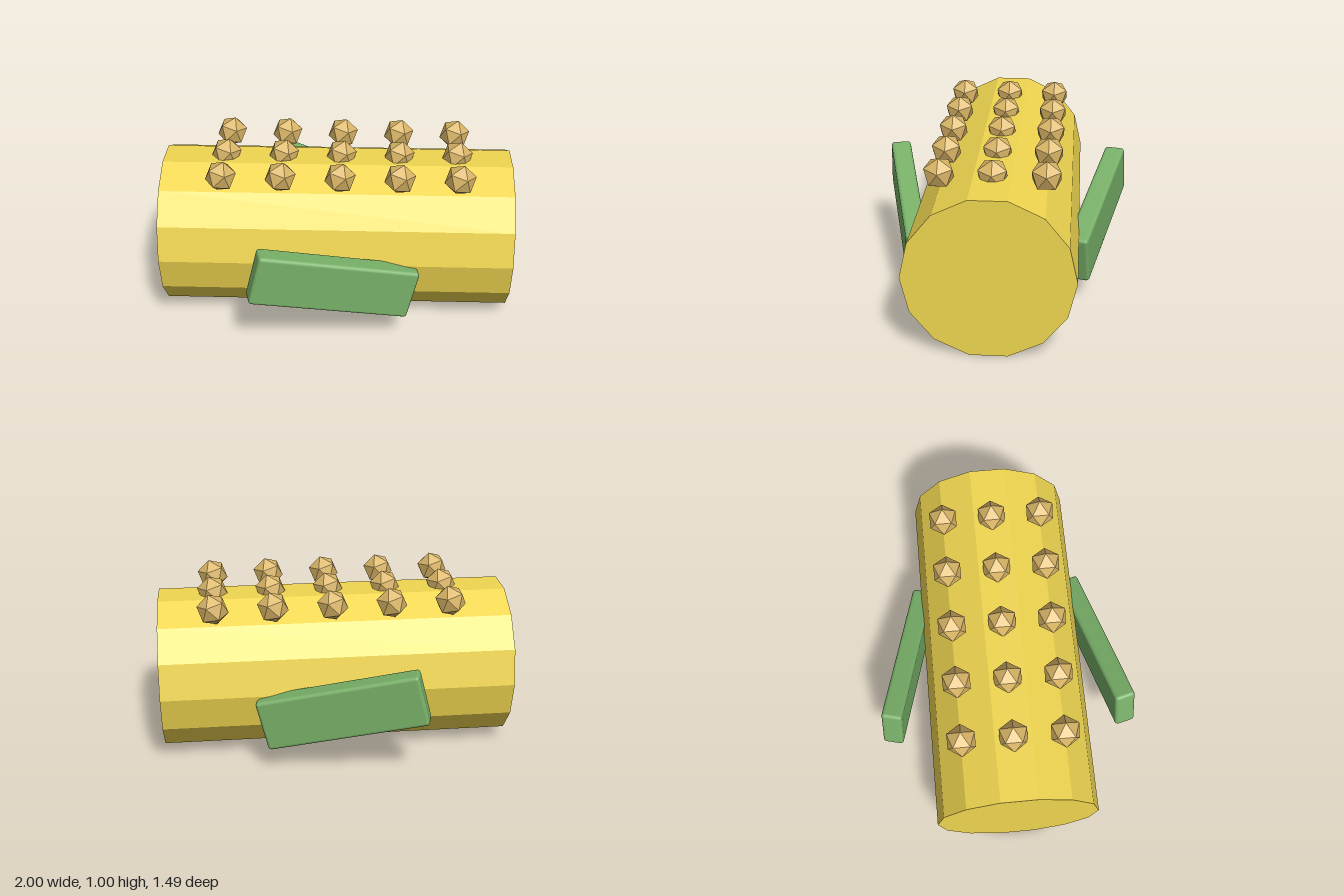
import * as THREE from 'three';
import { RoundedBoxGeometry } from 'three/addons/geometries/RoundedBoxGeometry.js';

const material = (color, flatShading) => new THREE.MeshStandardMaterial({ color, flatShading });

function addMesh(parent, name, geometry, mat, x, y, z) {
  const mesh = new THREE.Mesh(geometry, mat);
  mesh.name = name;
  mesh.position.set(x, y, z);
  parent.add(mesh);
  return mesh;
}

export function createModel() {
  const model = new THREE.Group();
  model.name = 'studdedRoll';

  // Fourteen-sided body lying along x
  const body = addMesh(model, 'body', new THREE.CylinderGeometry(0.461, 0.461, 2, 14),
    material(0xf0d650, true), 0, 0.45, 0);
  body.rotation.z = Math.PI / 2;

  // Three rows of five faceted studs along the top
  const studs = new THREE.Group();
  studs.name = 'studs';
  model.add(studs);
  const studGeometry = new THREE.IcosahedronGeometry(0.09, 0);
  const studMaterial = material(0xd9b566, true);
  for (const z of [-0.283, 0, 0.283]) {
    for (let i = 0; i < 5; i++) {
      const stud = addMesh(studs, 'stud', studGeometry, studMaterial, -0.643 + i * 0.333, 0.912, z);
      stud.rotation.z = -Math.PI / 4;
    }
  }

  // Tilted side fins, mirrored front to back
  const finGeometry = new RoundedBoxGeometry(0.93, 0.3, 0.12, 2, 0.02);
  const finMaterial = material(0x78b068, false);
  for (const side of [1, -1]) {
    const fin = addMesh(model, side > 0 ? 'frontFin' : 'backFin', finGeometry, finMaterial,
      -0.004, 0.4, side * 0.571);
    fin.rotation.set(0, side * 0.25, -0.25);
  }

  return model;
}
